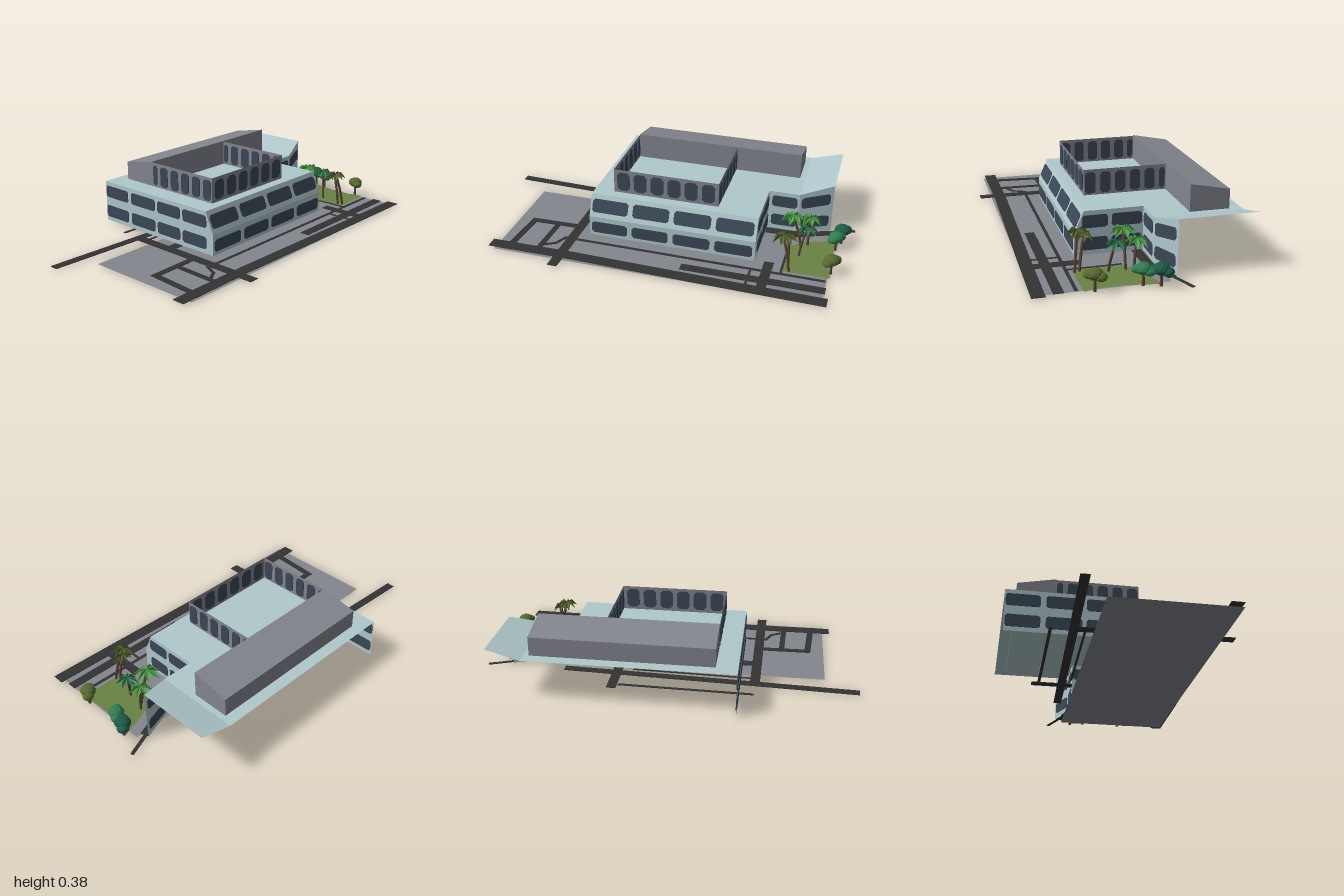
import * as THREE from 'three';
import { mergeGeometries } from 'three/addons/utils/BufferGeometryUtils.js';

const mat = (name, color, flatShading = true) => {
  const m = new THREE.MeshStandardMaterial({ color, side: THREE.DoubleSide, flatShading });
  m.name = name;
  return m;
};
const M = {
  wall: mat('paleBlueWall', 0xb0c9cc), grey: mat('greyConcrete', 0x84868f),
  glass: mat('darkGlass', 0x3b4857), road: mat('asphalt', 0x333333),
  lawn: mat('grass', 0x698343), trunk: mat('bark', 0x5c4438),
  olive: mat('oliveLeaf', 0x56682f), bright: mat('brightLeaf', 0x4fa548),
  mid: mat('greenLeaf', 0x2f7d50), dark: mat('darkLeaf', 0x1d5a47),
};
const V = (x, y, z) => new THREE.Vector3(x, y, z);

export function createModel() {
  const model = new THREE.Group();
  const section = (name) => {
    const g = new THREE.Group();
    g.name = name;
    model.add(g);
    return g;
  };
  const add = (parent, name, geo, material) => {
    const m = new THREE.Mesh(geo, material);
    m.name = name;
    parent.add(m);
    return m;
  };
  // Flat convex polygon from corner points, drawn as a fan
  const face = (...p) => {
    const pos = [];
    for (let i = 1; i < p.length - 1; i++) pos.push(...p[0], ...p[i], ...p[i + 1]);
    const g = new THREE.BufferGeometry();
    g.setAttribute('position', new THREE.Float32BufferAttribute(pos, 3));
    g.computeVertexNormals();
    return g;
  };
  // Thin chamfered pane lying in the plane spanned by u and v
  const pane = (parent, origin, u, v, u0, u1, v0, v1, c) => {
    const s = new THREE.Shape([
      [u0 + c, v0], [u1 - c, v0], [u1, v0 + c], [u1, v1 - c],
      [u1 - c, v1], [u0 + c, v1], [u0, v1 - c], [u0, v0 + c],
    ].map(([x, y]) => new THREE.Vector2(x, y)));
    const g = new THREE.ExtrudeGeometry(s, { depth: 0.006, bevelEnabled: false });
    g.translate(0, 0, -0.003);
    const n = u.clone().cross(v).normalize();
    g.applyMatrix4(new THREE.Matrix4().makeBasis(u, v, n).setPosition(origin));
    add(parent, 'window', g, M.glass);
  };

  // Main block: open shell with a leaning upper front
  const hall = section('mainBuilding');
  const L = -0.385, R = 0.525, B = -0.575, base = 0.008, roofY = 0.235, fold = 0.12;
  add(hall, 'frontLowerWall', face([L, base, 0.23], [R, base, 0.23], [R, fold, 0.23], [L, fold, 0.23]), M.wall);
  add(hall, 'frontUpperWall', face([L, fold, 0.23], [R, fold, 0.23], [R, roofY, 0.18], [L, roofY, 0.18]), M.wall);
  const sideWall = (x, back) => face([x, base, 0.23], [x, base, back], [x, roofY, back], [x, roofY, 0.18], [x, fold, 0.23]);
  add(hall, 'rightSideWall', sideWall(L, B), M.wall);
  add(hall, 'leftSideWall', sideWall(R, -0.12), M.wall);

  // Side wing with its bent front and raised roof flap
  const wing = section('sideWing');
  add(wing, 'wingFrontWall', face([R, base, -0.12], [0.69, base, -0.12], [0.69, roofY, -0.12], [R, roofY, -0.12]), M.wall);
  add(wing, 'wingAngledWall', face([0.69, base, -0.12], [0.865, base, -0.18], [0.865, 0.285, -0.18], [0.69, roofY, -0.12]), M.wall);
  add(wing, 'raisedRoof', face([0.69, roofY, -0.12], [0.865, 0.285, -0.18], [0.865, 0.285, B], [0.69, roofY, B]), M.wall);
  add(hall, 'mainRoof', face([L, roofY, 0.18], [R, roofY, 0.18], [R, roofY, B], [L, roofY, B]), M.wall);
  add(wing, 'wingRoof', face([R, roofY, -0.12], [0.69, roofY, -0.12], [0.69, roofY, B], [R, roofY, B]), M.wall);

  // Window rows
  const X = V(1, 0, 0), Y = V(0, 1, 0), Z = V(0, 0, 1);
  const lean = V(0, 0.115, -0.05).normalize();
  for (let i = 0; i < 4; i++) {
    const x = -0.373 + i * 0.2275;
    pane(hall, V(0, 0, 0.23), X, Y, x, x + 0.2, 0.027, 0.092, 0.012);
    pane(hall, V(0, fold, 0.23), X, lean, x, x + 0.2, 0.027, 0.1, 0.012);
  }
  for (const [y0, y1] of [[0.032, 0.098], [0.147, 0.212]]) {
    for (const [a, b] of [[-0.57, -0.395], [-0.368, -0.185], [-0.165, 0.0], [0.02, 0.185]])
      pane(hall, V(L, 0, 0), Z, Y, a, b, y0, y1, 0.01);
    for (const [a, b] of [[-0.113, 0.04], [0.06, 0.188]])
      pane(hall, V(R, 0, 0), Z, Y, a, b, y0, y1, 0.01);
    pane(wing, V(0, 0, -0.12), X, Y, 0.543, 0.68, y0, y1, 0.012);
    const rise = y0 > 0.1 ? 0.03 : 0.008;
    pane(wing, V(0.69, 0, -0.12), V(0.946, rise / 0.185, -0.324), Y, 0.012, 0.168, y0, y1, 0.012);
  }

  // Roof terrace screen, thin walls with octagonal openings
  const deck = section('roofTerrace');
  const top = 0.37, tL = -0.275, tR = 0.3, tF = 0.125, tB = -0.31;
  add(deck, 'frontScreen', face([tL, roofY, tF], [tR, roofY, tF], [tR, top, tF], [tL, top, tF]), M.grey);
  for (const x of [tL, tR])
    add(deck, 'sideScreen', face([x, roofY, tF], [x, roofY, tB], [x, top, tB], [x, top, tF]), M.grey);
  for (let i = 0; i < 6; i++) {
    const x = -0.257 + i * 0.0935, z = 0.064 - i * 0.0785;
    pane(deck, V(0, 0, tF), X, Y, x, x + 0.07, 0.25, 0.355, 0.016);
    for (const sx of [tL, tR]) pane(deck, V(sx, 0, 0), Z, Y, Math.max(z, -0.305), z + 0.054, 0.245, 0.355, 0.012);
  }

  // Plant room with sloping top, open below
  const plant = section('plantRoom');
  const pR = 0.66, pB = -0.513, low = 0.215, hi = 0.375, back = 0.335;
  add(plant, 'plantFront', face([tL, low, tB], [pR, low, tB], [pR, hi, tB], [tL, hi, tB]), M.grey);
  add(plant, 'plantBack', face([pR, low, pB], [tL, low, pB], [tL, back, pB], [pR, back, pB]), M.grey);
  add(plant, 'plantTop', face([tL, hi, tB], [pR, hi, tB], [pR, back, pB], [tL, back, pB]), M.grey);
  for (const x of [tL, pR])
    add(plant, 'plantSide', face([x, low, tB], [x, low, pB], [x, back, pB], [x, hi, tB]), M.grey);

  // Paved plot and lawn
  const site = section('site');
  add(site, 'paving', face([-0.825, 0.003, 0.503], [0.905, 0.003, 0.503], [0.905, 0.003, -0.137], [-0.825, 0.003, -0.137]), M.grey);
  const lawn = new THREE.Shape([[0.67, 0.28], [0.92, 0.275], [0.9, 0.19], [0.9, 0.08], [0.93, -0.09], [0.76, -0.03], [0.67, 0.04]]
    .map(([x, z]) => new THREE.Vector2(x, -z)));
  add(site, 'lawn', new THREE.ShapeGeometry(lawn).rotateX(-Math.PI / 2).translate(0, 0.006, 0), M.lawn);

  // Roads and paths: width, then x,z points
  const roads = [
    [0.065, [-0.865, 0.458], [-0.4, 0.455], [0.5, 0.475], [0.93, 0.482]],
    [0.052, [-0.46, -0.255], [-0.467, 0.567]],
    [0.045, [-1, -0.26], [-0.39, -0.235], [0.57, -0.2]],
    [0.016, [-0.46, -0.35], [0.25, -0.34]],
    [0.012, [-0.46, -0.18], [0.2, -0.165]],
    [0.05, [0.28, -0.38], [0.28, -0.15]],
    [0.05, [0.525, -0.088], [0.72, -0.092]],
    [0.042, [0.71, -0.09], [0.87, -0.155]],
    [0.018, [0.84, -0.15], [0.995, -0.212]],
    [0.034, [-0.755, 0.43], [-0.737, 0.18], [-0.47, 0.175]],
    [0.03, [-0.6, 0.43], [-0.592, 0.19]],
    [0.016, [-0.59, 0.4], [-0.53, 0.365], [-0.5, 0.3], [0.9, 0.307]],
    [0.05, [0.17, 0.388], [0.91, 0.388]],
    [0.05, [0.6, 0.22], [0.6, 0.46]],
    [0.012, [0.52, 0.3], [0.52, 0.46]],
    [0.012, [0.672, 0.03], [0.672, 0.3]],
    [0.05, [-0.46, -0.01], [-0.385, -0.01]],
  ];
  for (const [w, ...pts] of roads) {
    const parts = [];
    for (let i = 0; i < pts.length - 1; i++) {
      const dx = pts[i + 1][0] - pts[i][0], dz = pts[i + 1][1] - pts[i][1];
      const joint = i < pts.length - 2 ? w * 0.5 : 0;
      const len = Math.hypot(dx, dz);
      parts.push(new THREE.BoxGeometry(len + joint, 0.003, w).translate((len + joint) / 2, 0, 0)
        .rotateY(-Math.atan2(dz, dx)).translate(pts[i][0], 0.0065, pts[i][1]));
    }
    add(site, 'road', mergeGeometries(parts), M.road);
  }

  // Palms: leaning trunk and a ring of folded, drooping fronds
  const palm = (b, c, leaf, turn, r) => {
    const g = section('palm');
    const bend = V(b[0] * 0.7 + c[0] * 0.3, c[1] * 0.55, b[1] * 0.7 + c[2] * 0.3);
    const curve = new THREE.QuadraticBezierCurve3(V(b[0], 0, b[1]), bend, V(...c));
    add(g, 'palmTrunk', new THREE.TubeGeometry(curve, 5, 0.007, 6), M.trunk);
    const fronds = [];
    for (let i = 0; i < 7; i++) {
      const len = r * (i % 2 ? 0.85 : 1), w = r * 0.22;
      const root = [0, 0.008, 0], ridge = [len * 0.5, 0.016, 0], tip = [len, -0.026, 0];
      for (const s of [-1, 1]) {
        const edge = [len * 0.55, 0, s * w];
        fronds.push((s > 0 ? face(root, edge, tip, ridge) : face(root, ridge, tip, edge))
          .rotateY(turn + i * Math.PI * 2 / 7).translate(...c));
      }
    }
    add(g, 'fronds', mergeGeometries(fronds), leaf);
  };
  palm([0.71, 0.27], [0.665, 0.195, 0.245], M.olive, 0.2, 0.062);
  palm([0.7, 0.245], [0.69, 0.185, 0.22], M.olive, 0.7, 0.05);
  palm([0.735, 0.115], [0.765, 0.16, 0.085], M.mid, 0.4, 0.06);
  palm([0.735, 0.03], [0.68, 0.19, 0.03], M.bright, 0.1, 0.072);
  palm([0.765, 0.0], [0.765, 0.165, -0.015], M.bright, 0.6, 0.065);

  // Low round trees, each a few squashed blobs on a trunk
  const tree = (x, z, leaf, s) => {
    const g = section('roundTree');
    add(g, 'treeTrunk', new THREE.CylinderGeometry(0.006, 0.008, 0.07, 6).translate(x, 0.035, z), M.trunk);
    const blobs = [[0, 0.085, 0, 1], [0.018, 0.075, -0.024, 0.75], [-0.018, 0.078, 0.024, 0.7]];
    add(g, 'treeCrown', mergeGeometries(blobs.map(([dx, y, dz, k], i) =>
      new THREE.IcosahedronGeometry(0.04 * s * k, 1).scale(1, 0.72, 1).rotateY(i).translate(x + dx, y, z + dz))), leaf);
  };
  tree(0.935, -0.078, M.dark, 1.05);
  tree(0.912, 0.0, M.mid, 1);
  tree(0.915, 0.225, M.olive, 1);
  return model;
}
